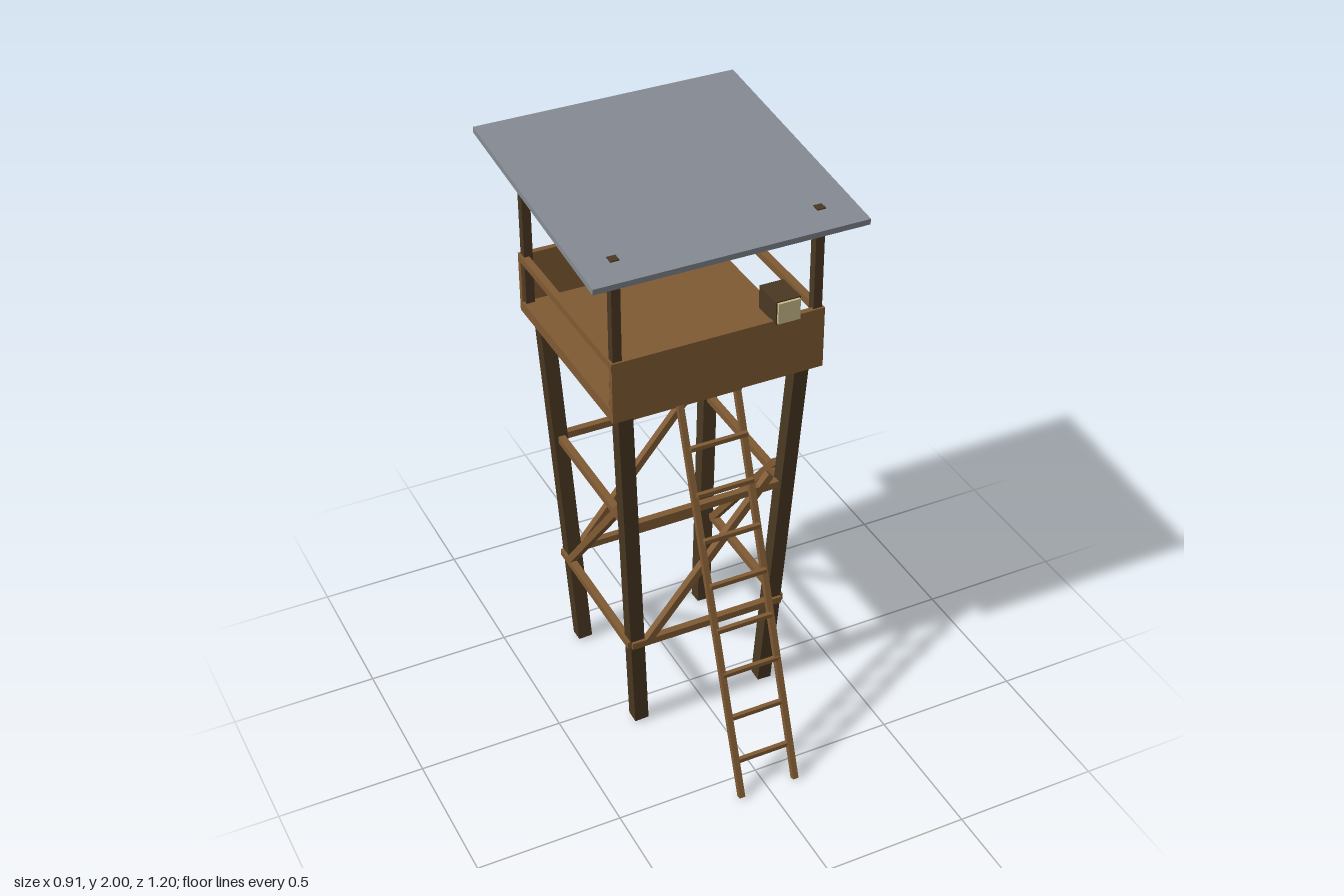
import * as THREE from 'three';

const mat = (name, color) => {
  const m = new THREE.MeshStandardMaterial({ color });
  m.name = name;
  return m;
};

export function createModel() {
  const wood = mat('wood', 0x7f5a33);
  const darkWood = mat('dark wood', 0x4a3822);
  const metal = mat('roof metal', 0x858a92);
  const glass = mat('lamp glass', 0xc8b98a);

  const model = new THREE.Group();
  model.name = 'watchtower';
  // everything but the ladder is centred on the tower axis
  const tower = new THREE.Group();
  tower.name = 'tower';
  tower.position.z = -0.15;
  model.add(tower);

  const box = (parent, name, material, size, pos) => {
    const mesh = new THREE.Mesh(new THREE.BoxGeometry(...size), material);
    mesh.name = name;
    mesh.position.set(...pos);
    parent.add(mesh);
    return mesh;
  };
  // square beam running from a to b
  const beam = (parent, name, material, a, b, w) => {
    const from = new THREE.Vector3(...a), to = new THREE.Vector3(...b);
    const mid = from.clone().add(to).multiplyScalar(0.5);
    const mesh = box(parent, name, material, [w, from.distanceTo(to), w], mid.toArray());
    mesh.quaternion.setFromUnitVectors(new THREE.Vector3(0, 1, 0), to.sub(from).normalize());
    return mesh;
  };

  // splayed legs and roof posts
  for (const sx of [-1, 1]) {
    for (const sz of [-1, 1]) {
      beam(tower, 'leg', darkWood, [sx * 0.238, 0.01, sz * 0.238], [sx * 0.307, 1.37, sz * 0.307], 0.05);
      box(tower, 'roofPost', darkWood, [0.03, 0.53, 0.03], [sx * 0.34, 1.655, sz * 0.34]);
    }
  }

  // horizontal and diagonal braces on all four sides
  for (const s of [-1, 1]) {
    for (const y of [0.375, 0.875]) {
      box(tower, 'crossBrace', wood, [0.56, 0.025, 0.025], [0, y, s * 0.28]);
      box(tower, 'sideBrace', wood, [0.025, 0.025, 0.56], [s * 0.28, y, 0]);
    }
    beam(tower, 'crossDiagonal', wood, [-0.228, 0.368, s * 0.28], [0.228, 0.92, s * 0.28], 0.025);
    beam(tower, 'sideDiagonal', wood, [s * 0.28, 0.368, -0.228], [s * 0.28, 0.92, 0.228], 0.025);
  }

  // platform with solid front and back boards and open side rails
  box(tower, 'floor', wood, [0.724, 0.04, 0.724], [0, 1.375, 0]);
  for (const s of [-1, 1]) {
    box(tower, 'parapetBoard', wood, [0.724, 0.175, 0.02], [0, 1.4825, s * 0.352]);
    box(tower, 'sideRail', wood, [0.025, 0.025, 0.72], [s * 0.35, 1.557, 0]);
  }

  // sloping roof, higher at the back
  const roof = box(tower, 'roof', metal, [0.908, 0.02, 0.908], [0, 1.943, 0]);
  roof.rotation.x = 0.103;

  // lamp on the front board
  box(tower, 'lampBody', darkWood, [0.085, 0.08, 0.11], [0.225, 1.605, 0.32]);
  box(tower, 'lampGlass', glass, [0.076, 0.072, 0.009], [0.225, 1.605, 0.3795]);

  // ladder
  const ladder = new THREE.Group();
  ladder.name = 'ladder';
  model.add(ladder);
  for (const s of [-1, 1]) {
    beam(ladder, 'ladderRail', wood, [s * 0.1, 0.005, 0.592], [s * 0.1, 1.36, 0.113], 0.02);
  }
  for (let i = 0; i < 9; i++) {
    box(ladder, 'rung', wood, [0.2, 0.015, 0.015], [0, 0.125 + i * 0.15, 0.545 - i * 0.0478]);
  }
  return model;
}
